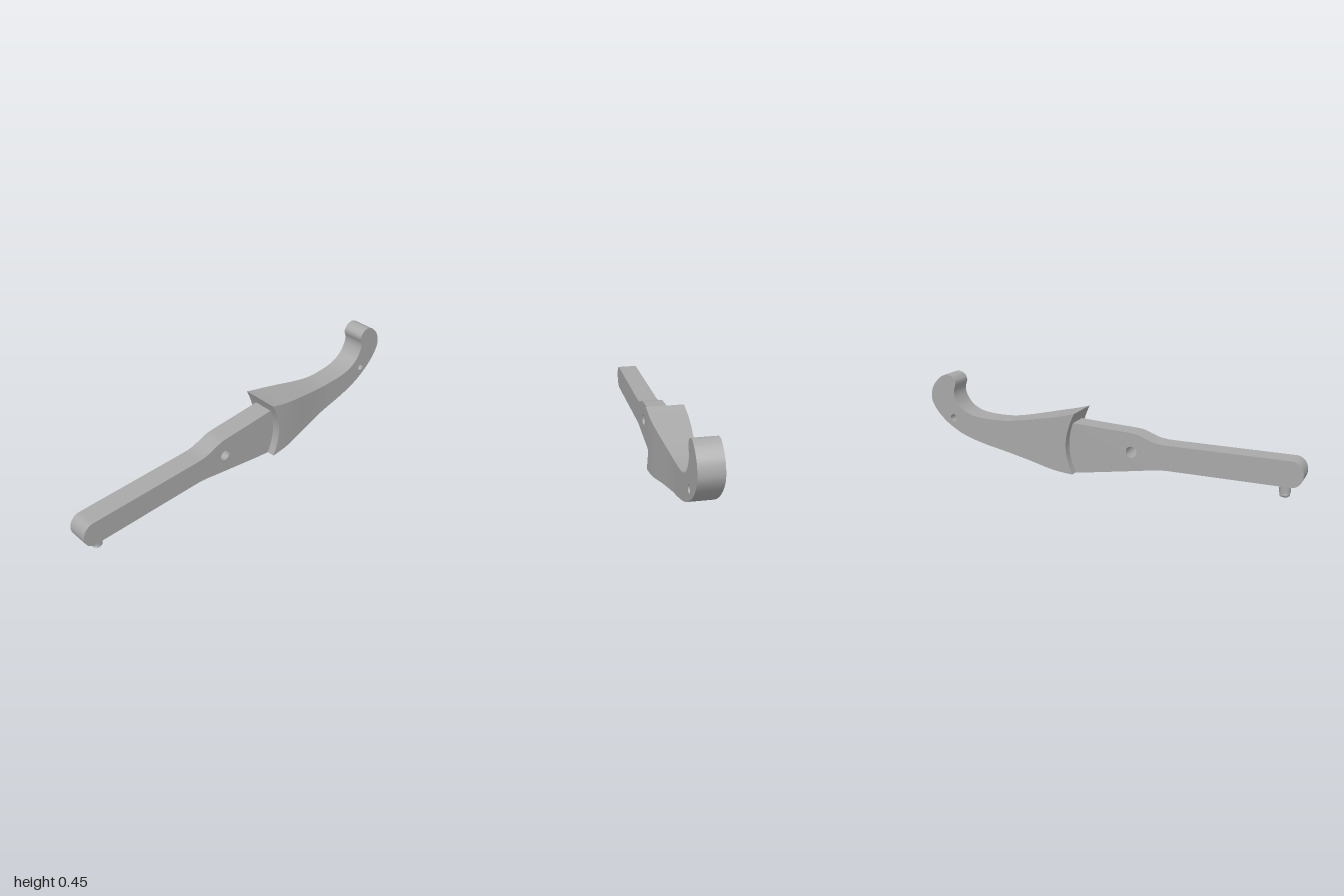
import * as THREE from 'three';
import { toCreasedNormals } from 'three/addons/utils/BufferGeometryUtils.js';

const pts = (list) => list.map(([x, y]) => new THREE.Vector2(x, y));
const spline = (list, n) => new THREE.SplineCurve(pts(list)).getPoints(n);

// Height of a left-to-right spline at a given x
function heightAt(list) {
  const p = spline(list, 80);
  return (x) => {
    let i = 1;
    while (i < p.length - 1 && p[i].x < x) i++;
    const t = (x - p[i - 1].x) / (p[i].x - p[i - 1].x);
    return THREE.MathUtils.lerp(p[i - 1].y, p[i].y, t);
  };
}

// Flat plate with a round hole, centred on z = 0, smooth along its curves
function plate(outline, hole, radius, halfDepth) {
  const shape = new THREE.Shape(outline);
  shape.holes.push(new THREE.Path().absarc(hole[0], hole[1], radius, 0, Math.PI * 2, true));
  const geo = new THREE.ExtrudeGeometry(shape, { depth: halfDepth * 2, bevelEnabled: false, curveSegments: 16 });
  geo.translate(0, 0, -halfDepth);
  return toCreasedNormals(geo, 0.5);
}

export function createModel() {
  const group = new THREE.Group();
  const grey = new THREE.MeshStandardMaterial({ color: 0xa8a8a8 });
  grey.name = 'grey metal';
  const add = (name, geo) => {
    const mesh = new THREE.Mesh(geo, grey);
    mesh.name = name;
    group.add(mesh);
    return mesh;
  };

  // Arm: rounded end, straight bar, then a deeper shoulder running into the grip
  const bottom = spline([[-0.34, 0.075], [-0.28, 0.07], [-0.2, 0.056], [-0.05, 0.031], [0.08, 0.01], [0.17, 0], [0.27, 0.004]], 40);
  const top = spline([[0.27, 0.262], [0.17, 0.261], [0, 0.252], [-0.14, 0.245], [-0.19, 0.238], [-0.26, 0.213], [-0.3, 0.205], [-0.34, 0.203]], 40);
  const end = new THREE.EllipseCurve(-0.945, 0.139, 0.055, 0.064, Math.PI / 2, Math.PI * 1.5).getPoints(24);
  add('arm', plate([...bottom, ...top, ...end], [-0.155, 0.147], 0.028, 0.052));

  // Pin under the end of the arm, with a groove and chamfered foot
  const pin = new THREE.LatheGeometry(pts([[0, 0.013], [0.02, 0.013], [0.025, 0.019], [0.025, 0.026],
    [0.023, 0.028], [0.027, 0.031], [0.027, 0.09]]), 24);
  add('pin', toCreasedNormals(pin, 0.4)).position.x = -0.909;

  // Grip: a box bent between two curves, hollowed at the front and tapering in width
  const seam = 0.65;
  const gripTop = heightAt([[0.1, 0.332], [0.135, 0.32], [0.2, 0.302], [0.275, 0.285], [0.436, 0.25], [0.54, 0.232], [0.607, 0.228], [seam, 0.228], [0.7, 0.231]]);
  const gripBottom = heightAt([[0.1, 0.002], [0.147, 0.002], [0.2, 0.006], [0.27, 0.014], [0.4, 0.039], [0.53, 0.061], [seam, 0.083], [0.72, 0.099]]);
  const grip = new THREE.BoxGeometry(1, 1, 1, 32, 16, 1);
  const pos = grip.attributes.position;
  for (let i = 0; i < pos.count; i++) {
    const u = pos.getX(i) + 0.5, v = pos.getY(i) + 0.5;
    const front = 0.147 + 0.155 * v - 0.167 * v * v;
    const x = THREE.MathUtils.lerp(front, seam, u);
    const y = THREE.MathUtils.lerp(gripBottom(x), gripTop(x), v);
    const half = 0.094 - 0.036 * THREE.MathUtils.smoothstep(x, 0.18, 0.62);
    pos.setXYZ(i, x, y, Math.sign(pos.getZ(i)) * half);
  }
  grip.computeVertexNormals();
  add('grip', grip);

  // Hook: curls up at the end of the grip to a rounded tip
  const outer = spline([[seam, 0.083], [0.75, 0.108], [0.83, 0.138], [0.9, 0.18], [0.955, 0.229], [0.99, 0.28],
    [1, 0.325], [0.985, 0.378], [0.95, 0.42], [0.92, 0.44], [0.895, 0.445], [0.868, 0.437], [0.85, 0.417],
    [0.847, 0.396], [0.856, 0.37], [0.857, 0.345], [0.848, 0.317], [0.825, 0.282], [0.79, 0.255],
    [0.745, 0.238], [0.7, 0.231], [seam, 0.228]], 110);
  add('hook', plate(outer, [0.866, 0.213], 0.019, 0.058));

  return group;
}
